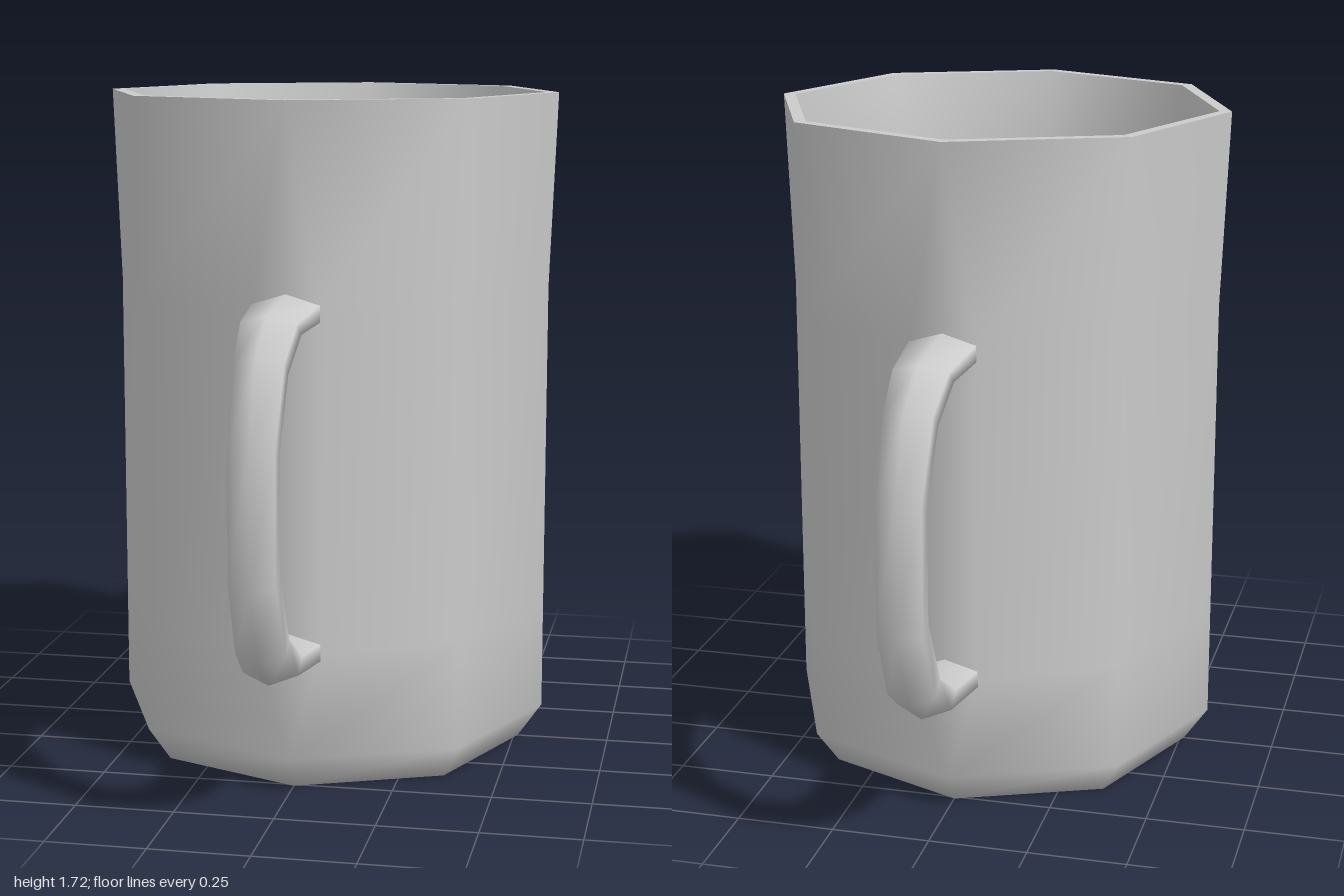
import * as THREE from 'three';
import { mergeVertices } from 'three/addons/utils/BufferGeometryUtils.js';

const material = new THREE.MeshStandardMaterial({ color: 0xcccccc });

// Skin a list of closed cross-sections (arrays of [x, y, z]) with smooth normals.
function loft(rings) {
  const n = rings[0].length, index = [];
  for (let i = 0; i < rings.length - 1; i++) {
    for (let j = 0; j < n; j++) {
      const k = (j + 1) % n;
      const a = i * n + j, b = i * n + k, c = a + n, d = b + n;
      index.push(a, c, b, b, c, d);
    }
  }
  let geometry = new THREE.BufferGeometry();
  geometry.setAttribute('position', new THREE.Float32BufferAttribute(rings.flat(2), 3));
  geometry.setIndex(index);
  geometry = mergeVertices(geometry, 1e-4);
  geometry.computeVertexNormals();
  return geometry;
}

// Octagon whose front and back corners can widen into flats of half width w.
function section(y, x, z = x, w = 0) {
  const d = x * Math.SQRT1_2;
  return [
    [x, y, 0], [d, y, d], [w, y, z], [-w, y, z], [-d, y, d],
    [-x, y, 0], [-d, y, -d], [-w, y, -z], [w, y, -z], [d, y, -d],
  ];
}

// Hexagonal handle section between an outer and an inner [z, y] point.
function handleSection([oz, oy, iz, iy, w]) {
  const at = (x, t) => [x, oy + (iy - oy) * t, oz + (iz - oz) * t];
  return [at(0, 0), at(w, 0.28), at(w, 0.74), at(0, 1), at(-w, 0.74), at(-w, 0.28)];
}

export function createModel() {
  const group = new THREE.Group();
  const add = (name, geometry) => {
    const mesh = new THREE.Mesh(geometry, material);
    mesh.name = name;
    group.add(mesh);
    return mesh;
  };

  // Outer wall and base, flattened where the handles join
  add('outerWall', loft([
    section(0, 0), section(0, 0.51), section(0.09, 0.573, 0.576),
    section(0.37, 0.573, 0.588, 0.08), section(1.22, 0.573, 0.59, 0.08),
    section(1.72, 0.592),
  ]));

  // Rim, then inner wall and floor
  add('rim', loft([section(1.72, 0.592), section(1.72, 0.56)]));
  add('innerWall', loft([
    section(1.72, 0.56), section(1.45, 0.518), section(0.1, 0.5), section(0.1, 0),
  ]));

  // Drink filling the cup
  add('drink', loft([
    section(0.12, 0), section(0.12, 0.49), section(1.48, 0.518), section(1.48, 0),
  ]));

  // Handles: outer z, outer y, inner z, inner y, half width
  const stations = [
    [0.57, 1.262, 0.57, 1.17, 0.085],
    [0.80, 1.237, 0.71, 1.165, 0.068],
    [0.91, 1.16, 0.82, 1.09, 0.06],
    [1.0, 0.96, 0.9, 0.92, 0.056],
    [1.0, 0.625, 0.9, 0.665, 0.056],
    [0.91, 0.43, 0.82, 0.495, 0.06],
    [0.80, 0.35, 0.71, 0.427, 0.068],
    [0.57, 0.325, 0.57, 0.418, 0.085],
  ];
  const handle = loft(stations.map(handleSection));
  add('frontHandle', handle);
  add('backHandle', handle).rotation.y = Math.PI;

  return group;
}
